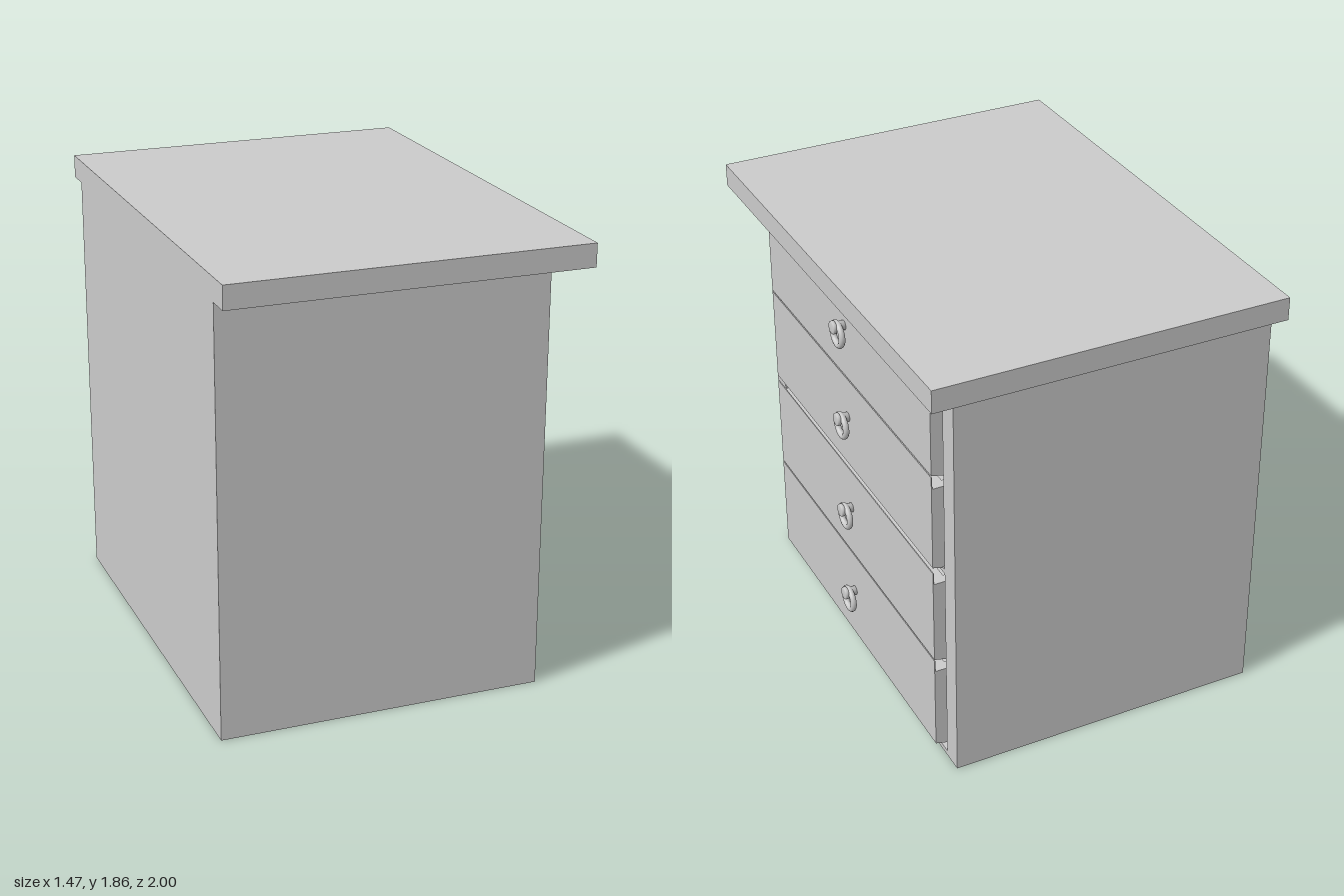
import * as THREE from 'three';

const material = new THREE.MeshStandardMaterial({ color: 0xcccccc });

function add(parent, name, geometry, x = 0, y = 0, z = 0) {
  const mesh = new THREE.Mesh(geometry, material);
  mesh.name = name;
  mesh.position.set(x, y, z);
  parent.add(mesh);
  return mesh;
}

// Box given by its limits on each axis
function block(parent, name, [x0, x1], [y0, y1], [z0, z1]) {
  return add(parent, name, new THREE.BoxGeometry(x1 - x0, y1 - y0, z1 - z0),
    (x0 + x1) / 2, (y0 + y1) / 2, (z0 + z1) / 2);
}

// Side profile (x, y) extruded across the width of a drawer
function acrossWidth(points, width) {
  const shape = new THREE.Shape(points.map(([x, y]) => new THREE.Vector2(x, y)));
  return new THREE.ExtrudeGeometry(shape, { depth: width, bevelEnabled: false })
    .translate(0, 0, -width / 2);
}

function createHandle(y) {
  const handle = new THREE.Group();
  handle.name = 'handle';
  handle.position.set(0.64, y, 0);
  // Knob: a stem with a slightly wider rounded head, turned around x
  const profile = [[0, 0], [0.02, 0], [0.02, 0.036], [0.027, 0.039], [0.027, 0.051], [0.023, 0.055], [0, 0.055]];
  const knob = new THREE.LatheGeometry(profile.map(([r, h]) => new THREE.Vector2(r, h)), 24);
  add(handle, 'knob', knob.rotateZ(-Math.PI / 2), 0, 0.034, 0);
  // Ring hanging from the knob
  add(handle, 'pullRing', new THREE.TorusGeometry(0.046, 0.013, 12, 32).rotateY(Math.PI / 2), 0.029, 0, 0);
  return handle;
}

function createDrawer(bottom, top, handleY) {
  const drawer = new THREE.Group();
  drawer.name = 'drawer';
  const rim = top - 0.052;
  const half = 0.785, wall = 0.04, back = -0.62;
  // Front with a sloping lower edge and a thin lip above the box
  add(drawer, 'drawerFront', acrossWidth([
    [0.58, bottom], [0.64, bottom + 0.015], [0.64, top], [0.636, top], [0.636, rim], [0.58, rim],
  ], half * 2));
  // Open box behind the front
  for (const s of [-1, 1]) {
    const z = [s * half, s * (half - wall)].sort((a, b) => a - b);
    block(drawer, 'drawerSide', [back, 0.58], [bottom, rim], z);
  }
  block(drawer, 'drawerBack', [back, back + wall], [bottom, rim], [-half + wall, half - wall]);
  block(drawer, 'drawerBottom', [back + wall, 0.58], [bottom, bottom + 0.02], [-half + wall, half - wall]);
  drawer.add(createHandle(handleY));
  return drawer;
}

export function createModel() {
  const model = new THREE.Group();
  model.name = 'drawerCabinet';

  // Carcass: two sides, back, floor and middle shelf
  const cabinet = new THREE.Group();
  cabinet.name = 'cabinet';
  model.add(cabinet);
  block(cabinet, 'leftSide', [-0.735, 0.6], [0, 1.76], [0.805, 0.895]);
  block(cabinet, 'rightSide', [-0.735, 0.6], [0, 1.76], [-0.895, -0.805]);
  block(cabinet, 'backPanel', [-0.735, -0.66], [0, 1.76], [-0.805, 0.805]);
  block(cabinet, 'floor', [-0.66, 0.6], [0, 0.022], [-0.805, 0.805]);
  block(cabinet, 'middleShelf', [-0.66, 0.6], [0.9, 0.92], [-0.805, 0.805]);

  // Top board with a recessed underside
  const top = new THREE.Group();
  top.name = 'topBoard';
  model.add(top);
  block(top, 'topPanel', [-0.735, 0.732], [1.8, 1.855], [-1, 1]);
  const outline = new THREE.Shape([[-0.735, -1], [0.732, -1], [0.732, 1], [-0.735, 1]]
    .map(([x, y]) => new THREE.Vector2(x, y)));
  outline.holes.push(new THREE.Path([[-0.675, -0.94], [-0.675, 0.94], [0.672, 0.94], [0.672, -0.94]]
    .map(([x, y]) => new THREE.Vector2(x, y))));
  const rim = new THREE.ExtrudeGeometry(outline, { depth: 0.04, bevelEnabled: false });
  add(top, 'topRim', rim.rotateX(-Math.PI / 2), 0, 1.76, 0);

  // Drawers: bottom, top and handle height
  for (const [bottom, upper, handleY] of [
    [0.045, 0.478, 0.26], [0.47, 0.9, 0.684], [0.911, 1.337, 1.124], [1.33, 1.76, 1.545],
  ]) model.add(createDrawer(bottom, upper, handleY));

  return model;
}
